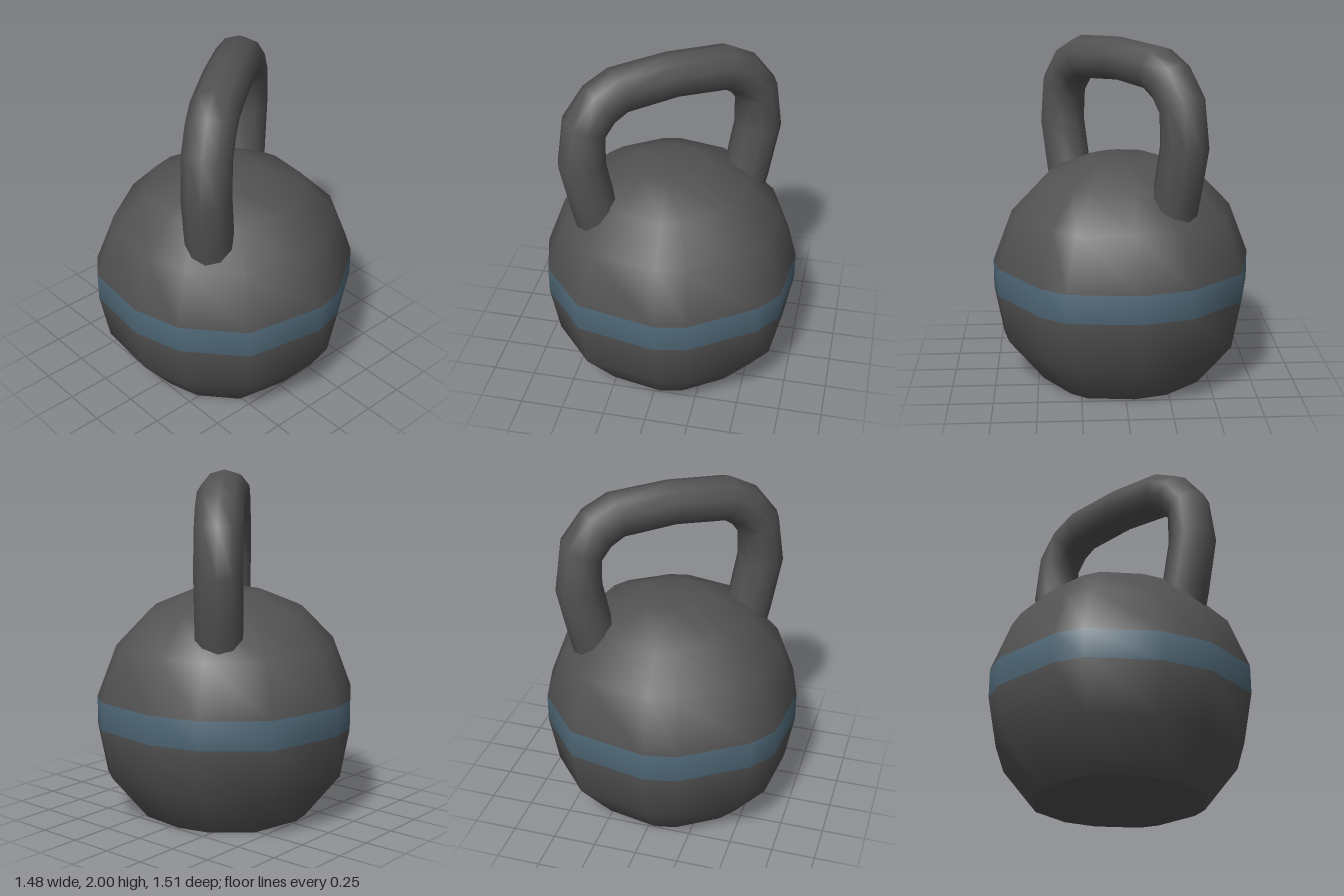
import * as THREE from 'three';
import { toCreasedNormals } from 'three/addons/utils/BufferGeometryUtils.js';

const iron = new THREE.MeshStandardMaterial({ color: 0x525252 });
iron.name = 'dark iron';
const blue = new THREE.MeshStandardMaterial({ color: 0x4d6574 });
blue.name = 'muted blue';

// Skins a list of rings (each a closed loop of points); materialOf picks a material index per strip
function loft(rings, crease, materialOf = () => 0) {
  const n = rings[0].length;
  const index = [];
  const geometry = new THREE.BufferGeometry();
  for (let k = 0; k < rings.length - 1; k++) {
    geometry.addGroup(index.length, n * 6, materialOf(k));
    for (let i = 0; i < n; i++) {
      const a = k * n + i, b = k * n + (i + 1) % n;
      index.push(a, b, a + n, b, b + n, a + n);
    }
  }
  geometry.setAttribute('position', new THREE.Float32BufferAttribute(rings.flat(2), 3));
  geometry.setIndex(index);
  return toCreasedNormals(geometry, crease);
}

function makeBody() {
  // Uneven fourteen-sided footprint: seven corners, repeated half a turn round
  const half = [[0.74, -0.075], [0.66, -0.36], [0.4, -0.657], [-0.055, -0.753],
    [-0.24, -0.715], [-0.595, -0.475], [-0.7, -0.33]];
  const footprint = [...half, ...half.map(([x, z]) => [-x, -z])];
  // Height and footprint scale, from the flat base to the flat top
  const profile = [[0, 0], [0, 0.655], [0.26, 0.93], [0.545, 1], [0.71, 1],
    [1.005, 0.85], [1.2, 0.6], [1.305, 0.275], [1.305, 0]];
  const rings = profile.map(([y, s]) => footprint.map(([x, z]) => [x * s, y, z * s]));
  const mesh = new THREE.Mesh(loft(rings, 0.75, (k) => (k === 3 ? 1 : 0)), [iron, blue]);
  mesh.name = 'bodyWithBand';
  return mesh;
}

function makeHandle() {
  // Outer and inner edge of the grip (outer x, y, inner x, y), from the foot to the middle
  const side = [[0.57, 0.95, 0.3, 1.02], [0.615, 1.13, 0.36, 1.2], [0.682, 1.45, 0.412, 1.45],
    [0.638, 1.73, 0.412, 1.62], [0.505, 1.9, 0.365, 1.685], [0.35, 1.978, 0.295, 1.73]];
  const mirrored = side.map(([a, b, c, d]) => [-a, b, -c, d]);
  const edges = [...mirrored, [0, 2, 0, 1.755], ...side.reverse()];
  const sides = 10, halfWidth = 0.138;
  const rings = edges.map(([ox, oy, ix, iy]) => Array.from({ length: sides }, (_, i) => {
    const t = i / sides * Math.PI * 2, c = Math.cos(t);
    return [(ox + ix + (ox - ix) * c) / 2, (oy + iy + (oy - iy) * c) / 2, halfWidth * Math.sin(t) + 0.013];
  }));
  const mesh = new THREE.Mesh(loft(rings, 1.0), iron);
  mesh.name = 'handle';
  mesh.rotation.y = 0.644; // the grip runs diagonally across the body
  return mesh;
}

export function createModel() {
  const model = new THREE.Group();
  model.name = 'kettlebell';
  model.add(makeBody(), makeHandle());
  return model;
}
